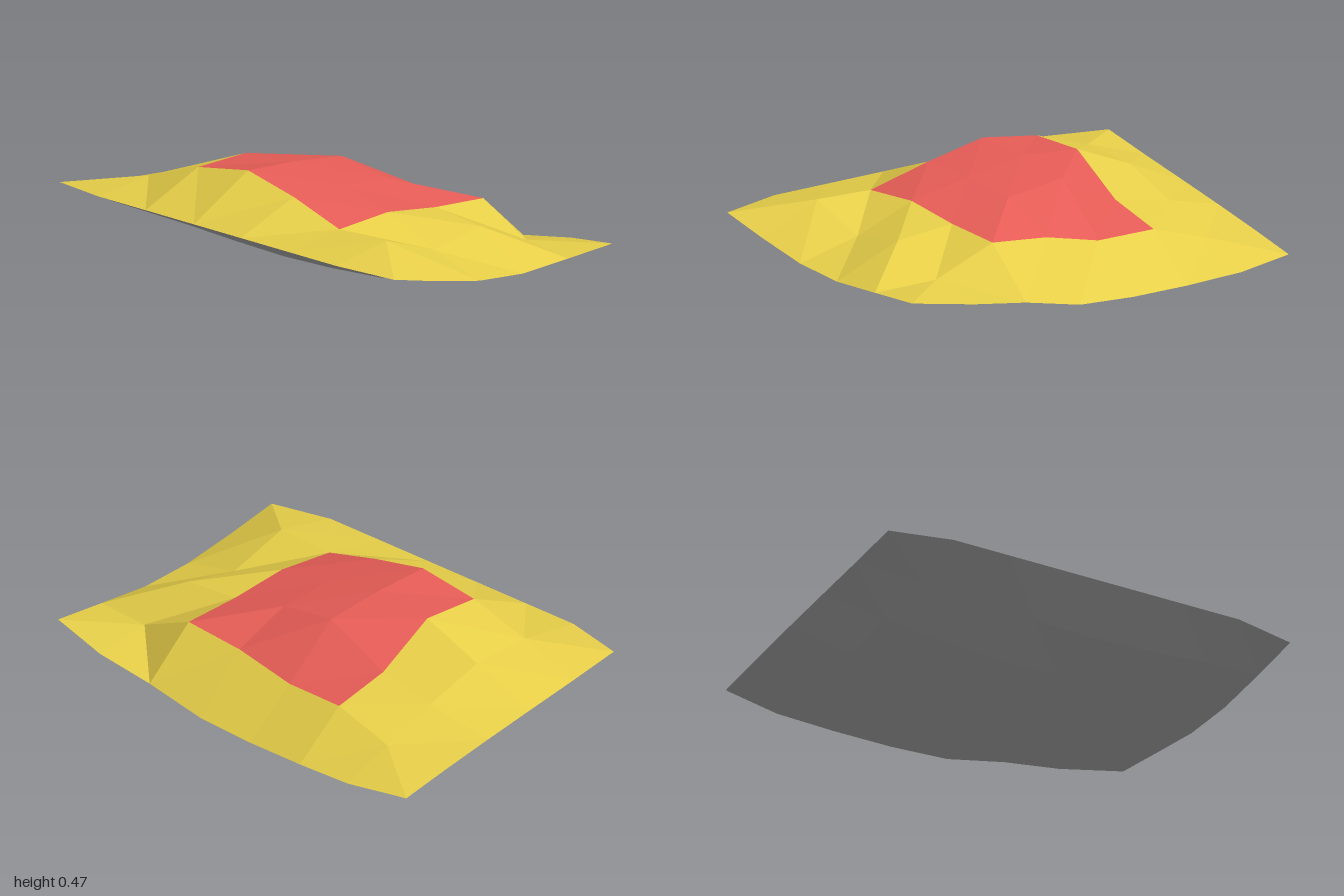
import * as THREE from 'three';

const xs = [-1, -0.71, -0.43, -0.14, 0.14, 0.43, 0.71, 1];

// Depths, one row per grid line from front to back; the rim is shared by both sheets
const frontZ = [0.625, 0.68, 0.68, 0.68, 0.68, 0.68, 0.68, 0.625];
const backZ = [-0.6, -0.652, -0.652, -0.655, -0.66, -0.67, -0.68, -0.635];
const sideZ = [0.385, 0.13, -0.12, -0.38]; // inner points of the two end rims
const topZ = [
  [0.39, 0.375, 0.367, 0.373, 0.39, 0.39],
  [0.11, 0.1, 0.1, 0.1, 0.11, 0.115],
  [-0.165, -0.16, -0.175, -0.17, -0.165, -0.16],
  [-0.42, -0.42, -0.42, -0.432, -0.44, -0.418],
];
const bottomZ = [0.43, 0.17, -0.1, -0.37].map((z) => Array(6).fill(z));

// Heights, in the same order
const frontRim = [0.29, 0.3, 0.3, 0.3, 0.3, 0.3, 0.3, 0.29];
const backRim = [0.035, 0.022, 0.015, 0.018, 0.036, 0.1, 0.145, 0.19];
const topY = [
  frontRim,
  [0.24, 0.333, 0.425, 0.47, 0.415, 0.34, 0.35, 0.235],
  [0.19, 0.315, 0.43, 0.455, 0.41, 0.358, 0.255, 0.185],
  [0.14, 0.22, 0.272, 0.422, 0.385, 0.323, 0.3, 0.165],
  [0.085, 0.12, 0.205, 0.208, 0.275, 0.306, 0.19, 0.177],
  backRim,
];
const bottomY = [
  frontRim,
  [0.24, 0.21, 0.185, 0.175, 0.17, 0.18, 0.2, 0.235],
  [0.19, 0.135, 0.105, 0.09, 0.1, 0.12, 0.155, 0.185],
  [0.14, 0.075, 0.045, 0.03, 0.045, 0.08, 0.125, 0.165],
  [0.085, 0.03, 0.015, 0, 0.02, 0.065, 0.118, 0.177],
  backRim,
];

// Diagonal of each top cell, front row first: F falls to the right, R rises
const topDiagonals = ['RFFRRRF', 'RRRRRRR', 'RRRRRRR', 'RRRRRRR', 'FRRRRFR'];

function point(i, j, rows, zs) {
  const end = i === 0 || i === 7;
  const z = j === 0 ? frontZ[i] : j === 5 ? backZ[i] : end ? sideZ[j - 1] : zs[j - 1][i - 1];
  return [xs[i], rows[j][i], z];
}

// Faceted sheet made of the grid cells that pass the test
function sheet(rows, zs, diagonals, test, facesDown) {
  const positions = [];
  for (let j = 0; j < 5; j++) {
    for (let i = 0; i < 7; i++) {
      if (!test(i, j)) continue;
      const a = point(i, j, rows, zs);
      const b = point(i + 1, j, rows, zs);
      const c = point(i + 1, j + 1, rows, zs);
      const d = point(i, j + 1, rows, zs);
      const falls = diagonals && diagonals[j][i] === 'F';
      const triangles = falls ? [[a, b, d], [b, c, d]] : [[a, b, c], [a, c, d]];
      for (const t of triangles) {
        if (facesDown) t.reverse();
        positions.push(...t.flat());
      }
    }
  }
  const geometry = new THREE.BufferGeometry();
  geometry.setAttribute('position', new THREE.Float32BufferAttribute(positions, 3));
  geometry.computeVertexNormals();
  return geometry;
}

function named(name, geometry, material) {
  const mesh = new THREE.Mesh(geometry, material);
  mesh.name = name;
  return mesh;
}

export function createModel() {
  const material = (name, color) => {
    const m = new THREE.MeshStandardMaterial({ color, flatShading: true });
    m.name = name;
    return m;
  };
  const yellow = material('yellow', 0xe6ce48);
  const red = material('red', 0xe65c56);
  const grey = material('grey', 0xb4b4b4);

  const inPatch = (i, j) => i >= 2 && i <= 4 && j >= 1 && j <= 3;
  const group = new THREE.Group();
  group.name = 'slab';
  group.add(
    // Upper surface around the central patch
    named('topSurface', sheet(topY, topZ, topDiagonals, (i, j) => !inPatch(i, j)), yellow),
    // Raised central patch
    named('centrePatch', sheet(topY, topZ, topDiagonals, inPatch), red),
    // Bowed underside meeting the top at the rim
    named('underside', sheet(bottomY, bottomZ, null, () => true, true), grey),
  );
  return group;
}
